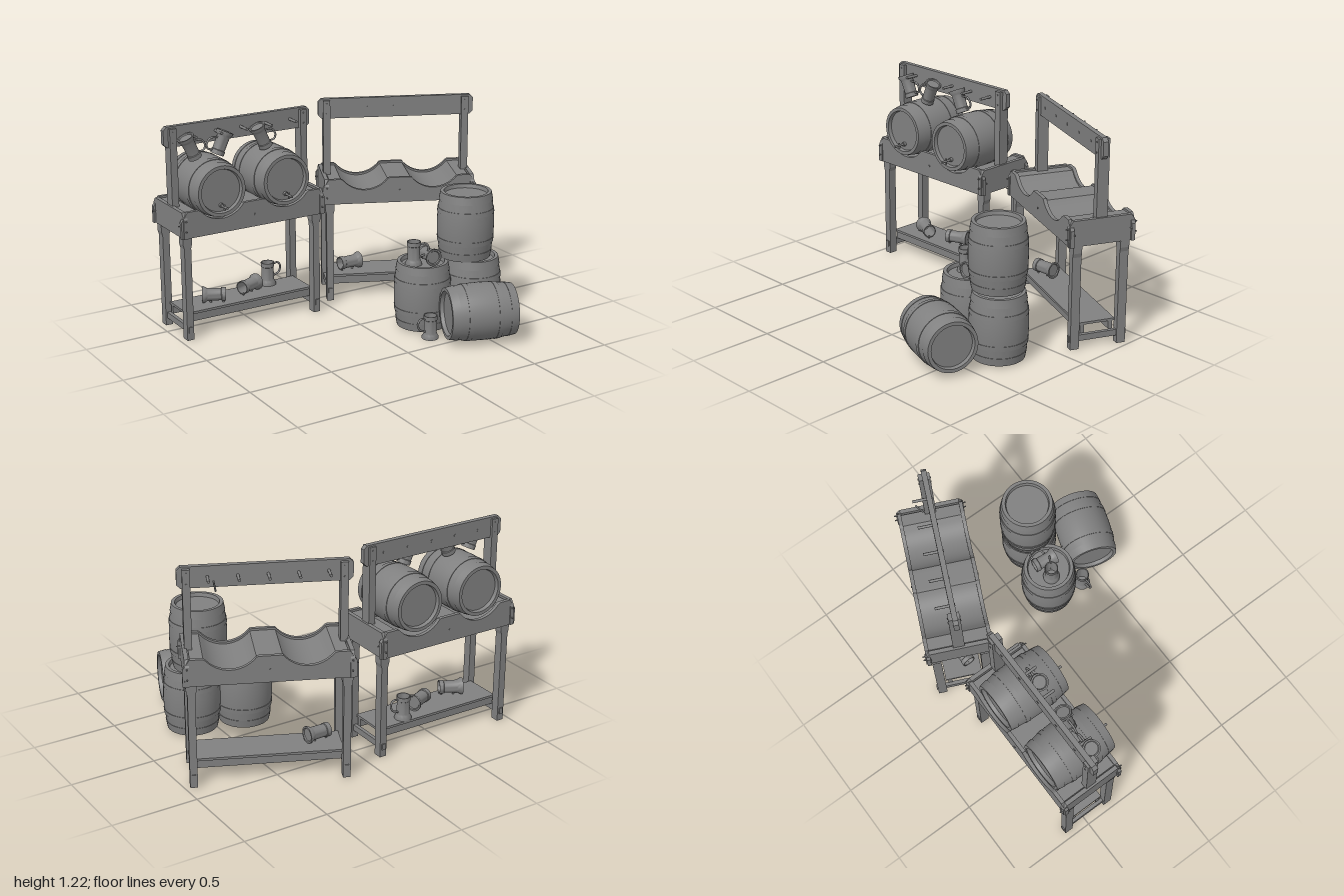
import * as THREE from 'three';
import { toCreasedNormals } from 'three/addons/utils/BufferGeometryUtils.js';

const COLOR = 0x808080;
const wood = new THREE.MeshStandardMaterial({ color: COLOR });
const thin = new THREE.MeshStandardMaterial({ color: COLOR, side: THREE.DoubleSide });
const V2 = (x, y) => new THREE.Vector2(x, y);

function add(parent, name, geo, x = 0, y = 0, z = 0, mat = wood) {
  const m = new THREE.Mesh(geo, mat);
  m.name = name;
  m.position.set(x, y, z);
  parent.add(m);
  return m;
}
const box = (p, name, w, h, d, x, y, z) => add(p, name, new THREE.BoxGeometry(w, h, d), x, y, z);

// Outline in x/y extruded along z, centred on z = 0
function slab(pts, depth) {
  const g = new THREE.ExtrudeGeometry(new THREE.Shape(pts.map(([x, y]) => V2(x, y))), { depth, bevelEnabled: false });
  return g.translate(0, 0, -depth / 2);
}

// Round peg between two points
function peg(p, name, r, a, b) {
  const from = new THREE.Vector3(...a), dir = new THREE.Vector3(...b).sub(from);
  const m = add(p, name, new THREE.CylinderGeometry(r, r, dir.length(), 10));
  m.position.copy(from).addScaledVector(dir, 0.5);
  m.quaternion.setFromUnitVectors(new THREE.Vector3(0, 1, 0), dir.normalize());
}

// Barrel along y, centred, with hoops and recessed heads
function barrel(parent, name, x, y, z, tap = false) {
  const g = new THREE.Group();
  g.name = name;
  g.position.set(x, y, z);
  parent.add(g);
  const H = 0.194, radius = t => 0.165 - 0.021 * t * t;
  const hoops = [[-1, -0.76], [-0.52, -0.38], [0.38, 0.52], [0.76, 1]];
  const pts = [V2(0, -H + 0.022), V2(0.122, -H + 0.022), V2(0.127, -H)];
  hoops.forEach(([a, b], i) => {
    const e = 0.003;
    if (i > 0) pts.push(V2(radius(a), a * H));
    pts.push(V2(radius(a) + e, a * H), V2(radius(b) + e, b * H));
    if (i < 3) pts.push(V2(radius(b), b * H));
    if (i === 1) for (const t of [-0.2, 0, 0.2]) pts.push(V2(radius(t), t * H));
  });
  pts.push(V2(0.127, H), V2(0.122, H - 0.022), V2(0, H - 0.022));
  add(g, 'staves', toCreasedNormals(new THREE.LatheGeometry(pts, 40), 0.5));
  if (tap) {
    peg(g, 'tap', 0.007, [0, H - 0.03, 0.085], [0, H + 0.06, 0.085]);
    peg(g, 'tapKey', 0.006, [0, H + 0.025, 0.07], [0, H + 0.025, 0.105]);
    peg(g, 'tapCollar', 0.013, [0, H - 0.025, 0.085], [0, H - 0.005, 0.085]);
  }
  return g;
}

// Tankard with its foot at the origin, mouth along +y, handle on one side
function mug(parent, x, y, z, rotation = [0, 0, 0], side = 1) {
  const g = new THREE.Group();
  g.name = 'mug';
  g.position.set(x, y, z);
  g.rotation.set(...rotation);
  parent.add(g);
  const profile = [[0, 0.006], [0.036, 0.006], [0.04, 0], [0.049, 0], [0.049, 0.01], [0.04, 0.025], [0.037, 0.035],
    [0.036, 0.11], [0.04, 0.113], [0.04, 0.138], [0.035, 0.138], [0.032, 0.02], [0, 0.02]].map(p => V2(...p));
  add(g, 'cup', toCreasedNormals(new THREE.LatheGeometry(profile, 24), 0.6), 0, 0, 0, thin);
  const curve = new THREE.CatmullRomCurve3([[0.034, 0.12], [0.066, 0.125], [0.084, 0.105], [0.076, 0.065], [0.034, 0.045]]
    .map(([a, b]) => new THREE.Vector3(side * a, b, 0)));
  add(g, 'handle', new THREE.TubeGeometry(curve, 16, 0.006, 8));
}

// Top edge of the cradle: two round dips that hold the barrels
function wave(x) {
  const d = Math.abs(Math.abs(x) - 0.2075);
  return d < 0.14 ? Math.min(0.77, 0.872 - Math.sqrt(0.172 ** 2 - d * d)) : 0.77;
}
function waveOutline(half, bottom, drop, chamfer) {
  const pts = [[-half, bottom], [half, bottom], [half, 0.77 - drop - chamfer]];
  for (let i = 0; i <= 60; i++) {
    const x = (half - chamfer * 0.7) * (1 - i / 30);
    pts.push([x, wave(x) - drop]);
  }
  pts.push([-half, 0.77 - drop - chamfer]);
  return pts;
}

function stand(parent, name, x, z, turn) {
  const g = new THREE.Group();
  g.name = name;
  g.position.set(x, 0, z);
  g.rotation.y = turn;
  parent.add(g);

  // Cradle
  add(g, 'cradleBed', toCreasedNormals(slab(waveOutline(0.42, 0.63, 0.012, 0.001), 0.34), 0.4));
  const boardGeo = slab(waveOutline(0.462, 0.617, 0, 0.055), 0.022);
  const endGeo = slab([[-0.197, 0.617], [0.197, 0.617], [0.197, 0.73], [0.172, 0.767], [-0.172, 0.767], [-0.197, 0.73]], 0.024);
  const legGeo = slab([[-0.021, 0], [0.021, 0], [0.021, 0.55], [0.028, 0.575], [0.028, 0.63],
    [-0.028, 0.63], [-0.028, 0.575], [-0.021, 0.55]], 0.052);
  for (const s of [-1, 1]) {
    add(g, 'cradleBoard', boardGeo, 0, 0, s * 0.18);
    add(g, 'cradleEnd', endGeo, s * 0.438).rotation.y = Math.PI / 2;
    // Posts, legs and lower stretchers
    box(g, 'post', 0.042, 0.51, 0.066, s * 0.417, 0.955, 0);
    box(g, 'stretcher', 0.022, 0.036, 0.345, s * 0.417, 0.062, 0);
    box(g, 'shelfRail', 0.82, 0.05, 0.024, 0, 0.107, s * 0.085);
    for (const t of [-1, 1]) {
      add(g, 'leg', legGeo, s * 0.417, 0, t * 0.14);
      for (const y of [0.66, 0.72]) peg(g, 'dowel', 0.004, [s * 0.438, y, t * 0.15], [s * 0.438, y, t * 0.21]);
      peg(g, 'dowel', 0.004, [s * 0.43, 0.69, t * 0.168], [s * 0.47, 0.69, t * 0.168]);
    }
    peg(g, 'dowel', 0.006, [0, 0.69, s * 0.17], [0, 0.69, s * 0.196]);
    for (const y of [1.13, 1.19]) peg(g, 'dowel', 0.005, [s * 0.417, y, -0.037], [s * 0.417, y, 0.037]);
  }
  box(g, 'shelf', 0.82, 0.014, 0.22, 0, 0.137, 0);

  // Top beam, with hanging pegs on its front only
  const c = 0.02, w = 0.467, lo = 1.1, hi = 1.22;
  add(g, 'beam', slab([[-w + c, lo], [w - c, lo], [w, lo + c], [w, hi - c], [w - c, hi], [-w + c, hi], [-w, hi - c], [-w, lo + c]], 0.03), 0, 0, -0.004);
  for (let i = -2; i <= 2; i++) peg(g, 'hangingPeg', 0.008, [0.015 + i * 0.16, 1.16, -0.022], [0.015 + i * 0.16, 1.16, 0.09]);
}

export function createModel() {
  const root = new THREE.Group();
  root.name = 'barrelStands';
  const Q = Math.PI / 2;

  // Loaded stand
  stand(root, 'loadedStand', -0.525, -0.475, 0);
  for (const x of [-0.742, -0.329]) barrel(root, 'tappedBarrel', x, 0.865, -0.455, true).rotation.x = Q;
  mug(root, -0.88, 1.16, -0.42, [0, 0, Math.PI + 0.43], -1);
  mug(root, -0.63, 1.16, -0.42, [0, 0, Math.PI - 0.43], 1);
  mug(root, -0.43, 1.16, -0.42, [0, 0, Math.PI + 0.43], -1);
  mug(root, -0.785, 0.193, -0.47, [0, -0.45, -Q], 1);
  mug(root, -0.41, 0.193, -0.5, [0, Math.PI + 0.4, -Q], 1);
  mug(root, -0.312, 0.145, -0.54);

  // Empty stand, turned so its pegs face away
  stand(root, 'emptyStand', 0.505, -0.405, Math.PI - 0.425);
  peg(root, 'loosePeg', 0.005, [0.79, 1.16, -0.36], [0.765, 1.09, -0.335]);
  mug(root, 0.31, 0.193, -0.505, [0, Math.PI, -Q], 1);

  // Barrels on the ground
  barrel(root, 'lowerBarrel', 0.308, 0.203, 0.187);
  barrel(root, 'lowerBarrel', 0.61, 0.203, 0.262);
  barrel(root, 'upperBarrel', 0.573, 0.591, 0.233);
  barrel(root, 'lyingBarrel', 0.445, 0.176, 0.557).rotation.set(0, -0.34, -Q);
  mug(root, 0.257, 0.376, 0.17, [0, -0.5, 0]);
  mug(root, 0.34, 0.424, 0.255, [-Q, 0, -0.1]);
  mug(root, 0.23, 0, 0.385, [0, 0, 0], -1);
  return root;
}
